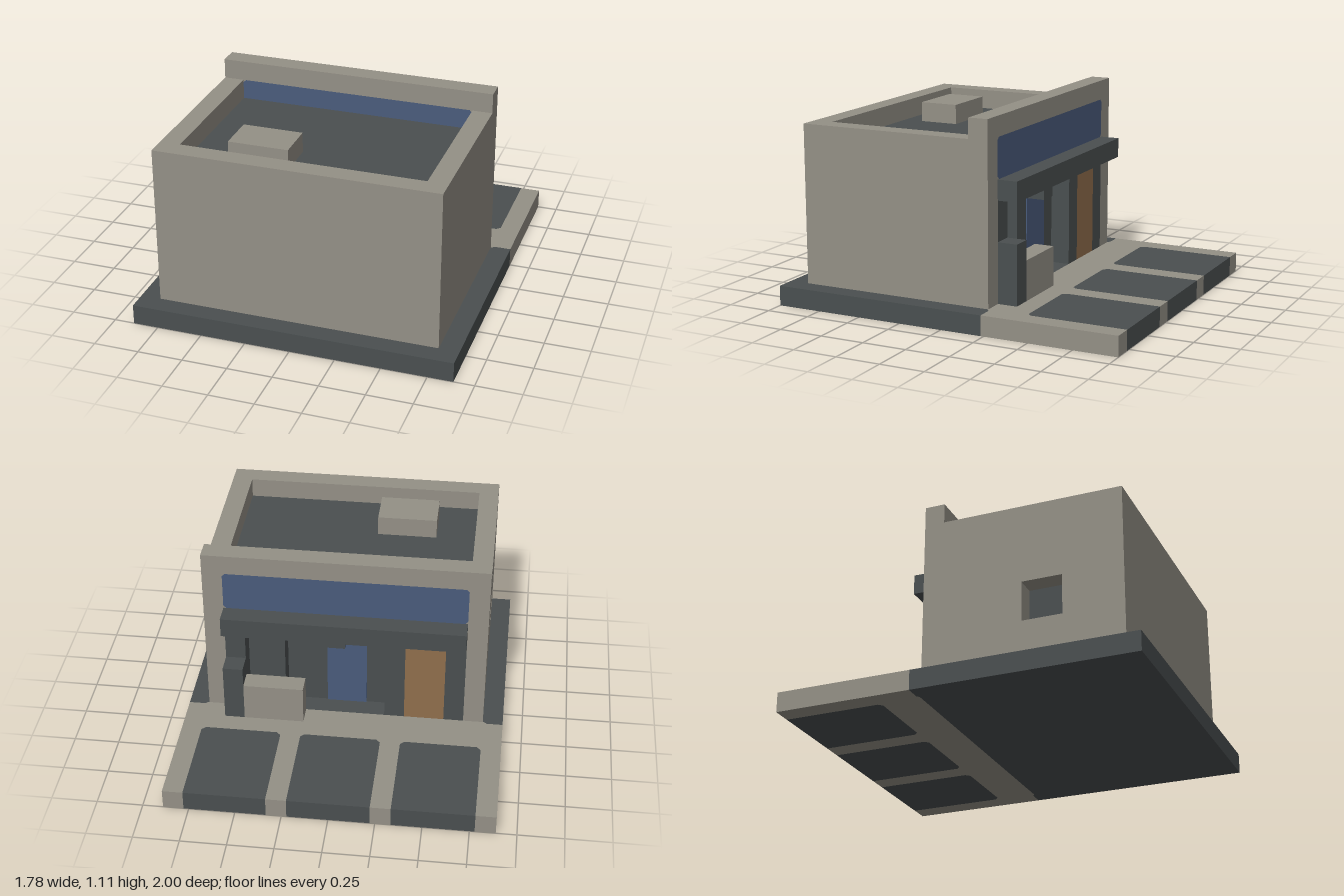
import * as THREE from 'three';

const U = 1 / 9; // the building sits on a grid of ninths

const mat = (name, color) => Object.assign(new THREE.MeshStandardMaterial({ color }), { name });

// Rectangle outline with small cut corners
function cutRect(x0, y0, x1, y1, c) {
  return [[x0 + c, y0], [x1 - c, y0], [x1, y0 + c], [x1, y1 - c],
    [x1 - c, y1], [x0 + c, y1], [x0, y1 - c], [x0, y0 + c]];
}
const toVecs = (pts) => pts.map(([x, y]) => new THREE.Vector2(x, y));

function extrude(pts, depth, hole) {
  const shape = new THREE.Shape(toVecs(pts));
  if (hole) shape.holes.push(new THREE.Path(toVecs(hole)));
  return new THREE.ExtrudeGeometry(shape, { depth, bevelEnabled: false });
}

export function createModel() {
  const model = new THREE.Group();
  const stone = mat('warmGrey', 0x949086);
  const dark = mat('darkGrey', 0x4a4f50);
  const blue = mat('slateBlue', 0x4a5c7c);
  const wood = mat('doorBrown', 0x906e4c);

  const add = (name, geometry, material) => {
    const mesh = new THREE.Mesh(geometry, material);
    mesh.name = name;
    model.add(mesh);
    return mesh;
  };
  // Box from its limits, in grid units
  const box = (name, material, x0, x1, y0, y1, z0, z1) => {
    const g = new THREE.BoxGeometry((x1 - x0) * U, (y1 - y0) * U, (z1 - z0) * U);
    g.translate((x0 + x1) * U / 2, (y0 + y1) * U / 2, (z0 + z1) * U / 2);
    return add(name, g, material);
  };
  // Ground slab from an outline of x and -z
  const slab = (name, material, pts) =>
    add(name, extrude(pts, U).rotateX(-Math.PI / 2), material);

  // Ground: dark plinth, pale forecourt and three parking bays
  const W = 8 * U, edge = [[-W, 0.235], [-0.8, 0.235], [-0.785, 2 * U], [0.785, 2 * U], [0.8, 0.235], [W, 0.235]];
  slab('plinth', dark, [[-W, -1], ...edge, [W, -1]]);
  const c = 0.022, z = 4 * U;
  const bays = [-5, 0, 5].map((m) => {
    const a = (m - 2) * U, b = (m + 2) * U;
    return [[a, 1], [a, z + c], [a + c, z], [b - c, z], [b, z + c], [b, 1]];
  });
  slab('forecourt', stone, [[-W, 1], ...bays.flat(), [W, 1], ...[...edge].reverse()]);
  bays.forEach((pts) => slab('parkingBay', dark, pts));

  // Dark core: flat roof, shop back wall and window backing
  box('roofCore', dark, -6, 6, 1, 8, -1, 7);

  // Outer walls rising to a parapet
  box('rearWall', stone, -7, 7, 1, 9, 7, 8);
  box('plainSideWall', stone, 6, 7, 1, 9, -1, 7);
  const sideWall = extrude(
    [[-7 * U, U], [U, U], [U, 9 * U], [-7 * U, 9 * U]], U,
    [[-5 * U, 3 * U], [-3 * U, 3 * U], [-3 * U, 5 * U], [-5 * U, 5 * U]],
  ).rotateY(Math.PI / 2).translate(-7 * U, 0, 0);
  add('windowSideWall', sideWall, stone);

  // Shop facade with an open bay below and a blue band above
  const band = cutRect(-6 * U, 7 * U, 6 * U, 9 * U, 0.015);
  const facade = [[-7, 1], [-6, 1], [-6, 6], [6, 6], [6, 1], [7, 1], [7, 10], [-7, 10]]
    .map(([x, y]) => [x * U, y * U]);
  add('facade', extrude(facade, U, band).translate(0, 0, -2 * U), stone);
  add('fasciaBand', extrude(band, U).translate(0, 0, -2 * U), blue);
  box('awning', dark, -6, 6, 6, 7, -3, -2);

  // Posts, door and glazing inside the bay
  for (const x of [-6, -3, 3, 5]) box('post', dark, x, x + 1, 1, 6, -2, -1);
  box('door', wood, -5, -3, 1, 6, -2, -1);
  box('shopWindow', blue, -1, 1, 1, 6, -1.06, -1);
  box('hangingLamp', dark, 0, 1, 5, 6, -2, -1);

  // Street items and rooftop unit
  box('bin', dark, 5, 6, 1, 4, -3, -2);
  box('bench', stone, 2, 5, 1, 3, -3, -2);
  box('roofUnit', stone, -4, -1, 8, 9, 4, 6);

  return model;
}
